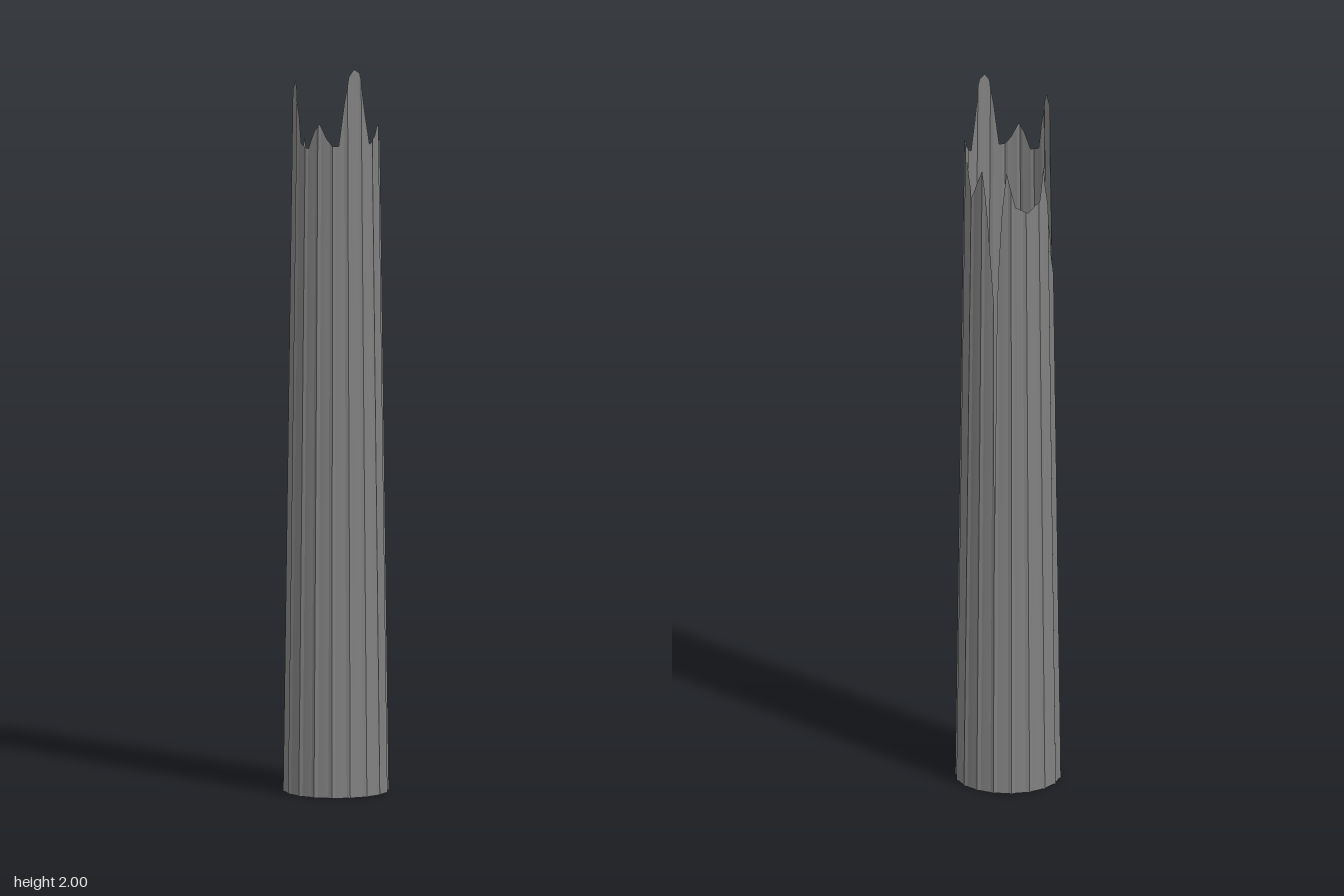
import * as THREE from 'three';
import { toCreasedNormals } from 'three/addons/utils/BufferGeometryUtils.js';

// Broken rim: [angle in degrees from +x towards +z, height]
const RIM = [
  [2, 1.70], [18, 1.79], [30, 1.79], [42, 1.84], [52, 1.81], [66, 1.79], [74, 1.87],
  [80, 1.95], [84, 1.99], [92, 2.0], [100, 1.98], [106, 1.91], [114, 1.79], [122, 1.79],
  [130, 1.81], [140, 1.85], [148, 1.83], [158, 1.78], [172, 1.79], [182, 1.91], [190, 1.95],
  [196, 1.96], [202, 1.93], [206, 1.79], [210, 1.66], [214, 1.53], [218, 1.42], [222, 1.46],
  [230, 1.56], [240, 1.64], [250, 1.79], [258, 1.70], [278, 1.67], [296, 1.69],
  [308, 1.79], [314, 1.68], [318, 1.53], [320, 1.4], [322, 0.7], [324, 1.4], [328, 1.5],
  [334, 1.65], [342, 1.79], [352, 1.75], [362, 1.70],
];

function rimHeight(angle) {
  const a = angle < 2 ? angle + 360 : angle;
  const i = Math.max(1, RIM.findIndex((p) => p[0] >= a));
  const [a0, h0] = RIM[i - 1];
  const [a1, h1] = RIM[i];
  return THREE.MathUtils.mapLinear(a, a0, a1, h0, h1);
}

const FLUTES = 18;
const STEP = 360 / FLUTES;

// Tapering radius with shallow flutes between sharp ridges
function shaftRadius(angle, y) {
  const t = ((angle - 2 + 360) % STEP) / STEP;
  const hollow = Math.min(1, 5 * t, 5 * (1 - t));
  return (0.1445 - 0.0138 * y) * (1 - 0.032 * hollow);
}

export function createModel() {
  const group = new THREE.Group();
  group.name = 'brokenColumn';

  // Open hollow tube: fluted by moving the radius, top row raised to the rim
  const tube = new THREE.CylinderGeometry(1, 1, 1, FLUTES * 10, 1, true);
  const pos = tube.attributes.position;
  for (let i = 0; i < pos.count; i++) {
    const raw = THREE.MathUtils.radToDeg(Math.atan2(pos.getZ(i), pos.getX(i)));
    const angle = (Math.round(raw) + 360) % 360;
    const y = pos.getY(i) > 0 ? rimHeight(angle) : 0;
    const r = shaftRadius(angle, y);
    const rad = THREE.MathUtils.degToRad(angle);
    pos.setXYZ(i, r * Math.cos(rad), y, r * Math.sin(rad));
  }

  const shaft = new THREE.Mesh(
    toCreasedNormals(tube, Math.PI / 9),
    new THREE.MeshStandardMaterial({ color: 0x808080, side: THREE.DoubleSide }),
  );
  shaft.name = 'flutedShaft';
  group.add(shaft);
  return group;
}
